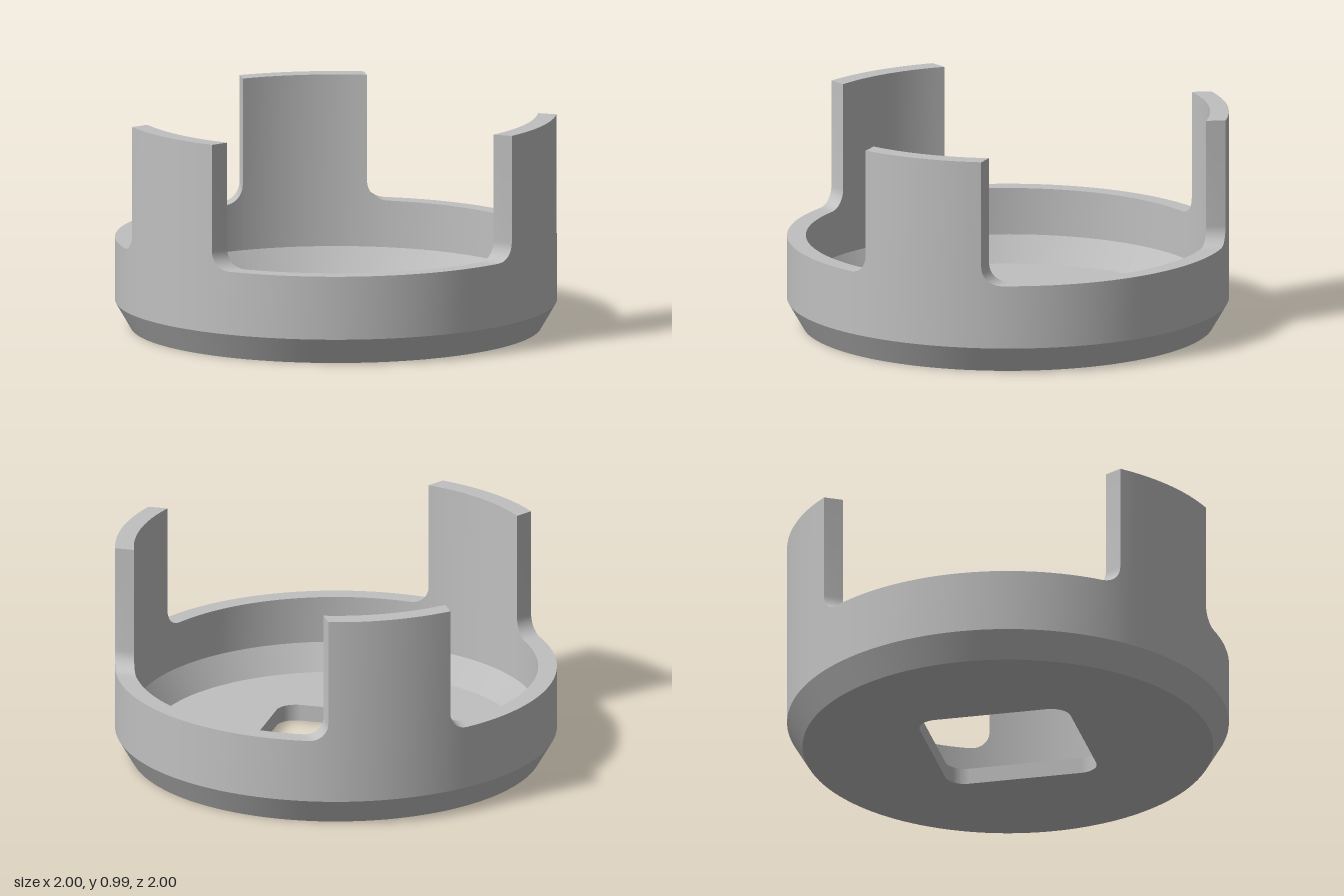
import * as THREE from 'three';
import { toCreasedNormals } from 'three/addons/utils/BufferGeometryUtils.js';

const OUTER = 1, INNER = 0.915;         // wall radii
const RIM = 0.41, TOP = 0.985;          // rim and prong heights
const HALF = 0.285, FILLET = 0.085;     // prong half width, root fillet
const FLOOR = 0.075, FLOOR_R = 0.845;

// Rim stations for one third of the ring: { outer angle, inner angle, height }
function rimStations() {
  const side = [];
  for (let i = 0; i <= 8; i++) {
    const a = (i / 8) * Math.PI / 2;
    side.push([HALF + FILLET * (1 - Math.sin(a)), RIM + FILLET * (1 - Math.cos(a))]);
  }
  const outline = side.map(([t, y]) => [-t, y]);
  for (let i = 0; i <= 12; i++) outline.push([HALF * (i / 6 - 1), TOP]);
  outline.push(...side.reverse());
  const stations = outline.map(([t, y]) => ({ o: Math.asin(t / OUTER), i: Math.asin(t / INNER), y }));

  // low rim up to the next prong
  const last = stations[stations.length - 1], third = Math.PI * 2 / 3, n = 28;
  for (let k = 1; k < n; k++) {
    const lerp = (a) => a + (third - 2 * a) * k / n;
    stations.push({ o: lerp(last.o), i: lerp(last.i), y: RIM });
  }
  return stations;
}

// Chamfered wall with three prongs, swept as a cross-section around the axis
function wallGeometry() {
  const point = (r, a, y) => new THREE.Vector3(r * Math.cos(a), y, -r * Math.sin(a));
  const columns = [];
  for (let p = 0; p < 3; p++) {
    const turn = p * Math.PI * 2 / 3;
    for (const s of rimStations()) {
      const o = s.o + turn, i = s.i + turn;
      columns.push([
        point(FLOOR_R, i, 0), point(0.93, o, 0), point(OUTER, o, 0.12), point(OUTER, o, s.y),
        point(INNER, i, s.y), point(INNER, i, FLOOR + 0.12), point(FLOOR_R, i, FLOOR),
      ]);
    }
  }
  const positions = [];
  const triangle = new THREE.Triangle();
  const add = (a, b, c) => {
    if (triangle.set(a, b, c).getArea() > 1e-8) {
      for (const v of [a, b, c]) positions.push(v.x, v.y, v.z);
    }
  };
  columns.forEach((col, j) => {
    const next = columns[(j + 1) % columns.length];
    for (let k = 0; k < col.length - 1; k++) {
      add(col[k], next[k], next[k + 1]);
      add(col[k], next[k + 1], col[k + 1]);
    }
  });
  const g = new THREE.BufferGeometry();
  g.setAttribute('position', new THREE.Float32BufferAttribute(positions, 3));
  return toCreasedNormals(g, 0.45);
}

// Round floor with a rounded square hole
function floorGeometry() {
  const shape = new THREE.Shape().absarc(0, 0, FLOOR_R + 0.001, 0, Math.PI * 2, false);
  const hole = new THREE.Path();
  const c = 0.35 - 0.09;
  [[c, c], [-c, c], [-c, -c], [c, -c]].forEach(([x, y], q) => {
    hole.absarc(x, y, 0.09, q * Math.PI / 2, (q + 1) * Math.PI / 2, false);
  });
  hole.closePath();
  shape.holes.push(hole);
  const g = new THREE.ExtrudeGeometry(shape, { depth: FLOOR, bevelEnabled: false, curveSegments: 48 });
  g.rotateX(-Math.PI / 2);
  return toCreasedNormals(g, 0.45);
}

export function createModel() {
  const grey = new THREE.MeshStandardMaterial({ color: 0xc0c0c0 });
  grey.name = 'grey';

  const group = new THREE.Group();
  group.name = 'prongedCup';
  const wall = new THREE.Mesh(wallGeometry(), grey);
  wall.name = 'wallWithProngs';
  const floor = new THREE.Mesh(floorGeometry(), grey);
  floor.name = 'floor';
  group.add(wall, floor);
  return group;
}
